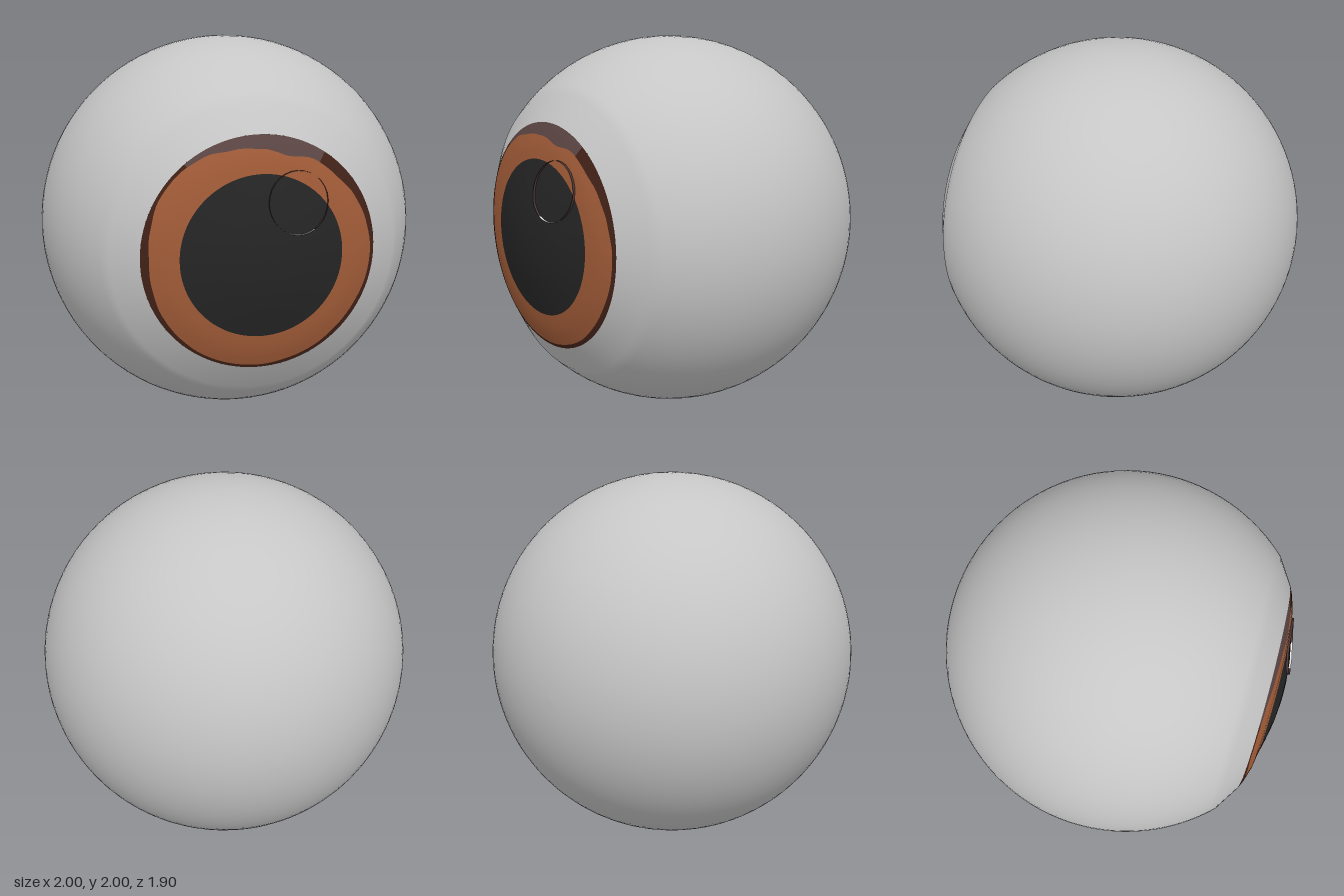
import * as THREE from 'three';

const mat = (name, color, side = THREE.FrontSide) => {
  const m = new THREE.MeshStandardMaterial({ color, side });
  m.name = name;
  return m;
};

// Height of the domed cornea (z) at a given distance from the eye axis
const PROFILE = [[0, 0.95], [0.1, 0.946], [0.2, 0.934], [0.3, 0.913], [0.4, 0.888], [0.47, 0.876], [0.54, 0.853], [0.58, 0.835]];
function domeZ(r) {
  for (let i = 1; i < PROFILE.length; i++) {
    const [r0, z0] = PROFILE[i - 1], [r1, z1] = PROFILE[i];
    if (r <= r1) return THREE.MathUtils.lerp(z0, z1, (r - r0) / (r1 - r0));
  }
  return 0.835;
}

// Wavy outer edge of the iris: radius every 15 degrees, counter-clockwise from +x
const EDGE = [0.56, 0.55, 0.54, 0.525, 0.525, 0.495, 0.515, 0.53, 0.555, 0.565, 0.565, 0.55,
  0.54, 0.545, 0.555, 0.56, 0.565, 0.565, 0.565, 0.56, 0.56, 0.555, 0.555, 0.56];
function irisEdge(deg) {
  const t = (((deg % 360) + 360) % 360) / 15, i = Math.floor(t), f = t - i;
  return THREE.MathUtils.lerp(EDGE[i % 24], EDGE[(i + 1) % 24], f * f * (3 - 2 * f));
}

// Ring sector lying on the dome, between two radius functions of the angle
function domeBand(inner, outer, from, to, rings) {
  const pos = [], idx = [], steps = Math.round((to - from) / 3), w = rings + 1;
  for (let i = 0; i <= steps; i++) {
    const deg = from + (to - from) * i / steps, a = THREE.MathUtils.degToRad(deg);
    for (let j = 0; j <= rings; j++) {
      const r = THREE.MathUtils.lerp(inner(deg), outer(deg), j / rings);
      pos.push(r * Math.cos(a), r * Math.sin(a), domeZ(r));
      if (i < steps && j < rings) {
        const k = i * w + j;
        idx.push(k, k + 1, k + w + 1, k, k + w + 1, k + w);
      }
    }
  }
  const g = new THREE.BufferGeometry();
  g.setAttribute('position', new THREE.Float32BufferAttribute(pos, 3));
  g.setIndex(idx);
  g.computeVertexNormals();
  return g;
}

// Inward-facing lip of the round glint, following the dome
function glintLip(from, to) {
  const pos = [], idx = [], n = 24, R = 0.15;
  for (let i = 0; i <= n; i++) {
    const a = THREE.MathUtils.degToRad(from + (to - from) * i / n);
    const x = 0.17 + R * Math.cos(a), y = 0.26 + R * Math.sin(a), z = domeZ(Math.hypot(x, y));
    pos.push(x, y, z - 0.004, x, y, z + 0.012);
    if (i < n) idx.push(2 * i, 2 * i + 1, 2 * i + 3, 2 * i, 2 * i + 3, 2 * i + 2);
  }
  const g = new THREE.BufferGeometry();
  g.setAttribute('position', new THREE.Float32BufferAttribute(pos, 3));
  g.setIndex(idx);
  g.computeVertexNormals();
  return g;
}

export function createModel() {
  const group = new THREE.Group();
  const white = mat('eye white', 0xc6c6c6);
  const orange = mat('iris orange', 0xa25c38);
  const black = mat('pupil black', 0x252525);
  const brown = mat('rim brown', 0x422218);
  const mauve = mat('shadow mauve', 0x5c4644);
  const glintWhite = mat('glint white', 0xf4f4f4, THREE.DoubleSide);
  const glintMauve = mat('glint mauve', 0x4a3638, THREE.DoubleSide);
  const add = (name, geometry, material) => {
    const m = new THREE.Mesh(geometry, material);
    m.name = name;
    m.position.y = 1;
    group.add(m);
  };

  // Ball with a flat opening at the front
  const pts = [];
  for (let i = 0; i <= 40; i++) {
    const a = THREE.MathUtils.degToRad(-90 + 134 * i / 40);
    pts.push(new THREE.Vector2(Math.max(0, Math.cos(a)), 0.05 + Math.sin(a)));
  }
  pts.push(new THREE.Vector2(0.58, 0.835));
  add('eyeball', new THREE.LatheGeometry(pts, 96).rotateX(Math.PI / 2), white);

  // Domed pupil, iris and the dark rim around it
  const rim = () => 0.58, pupilEdge = () => 0.4;
  add('pupil', domeBand(() => 0, pupilEdge, 0, 360, 8), black);
  add('iris', domeBand(pupilEdge, irisEdge, 0, 360, 4), orange);
  add('irisRim', domeBand(irisEdge, rim, 129, 417, 2), brown);
  add('upperLidShadow', domeBand(irisEdge, rim, 57, 129, 2), mauve);

  // Round glint outline on the pupil, bright at its lower edge
  add('glintLip', glintLip(-60, 240), glintMauve);
  add('glintLowerLip', glintLip(240, 300), glintWhite);
  return group;
}
